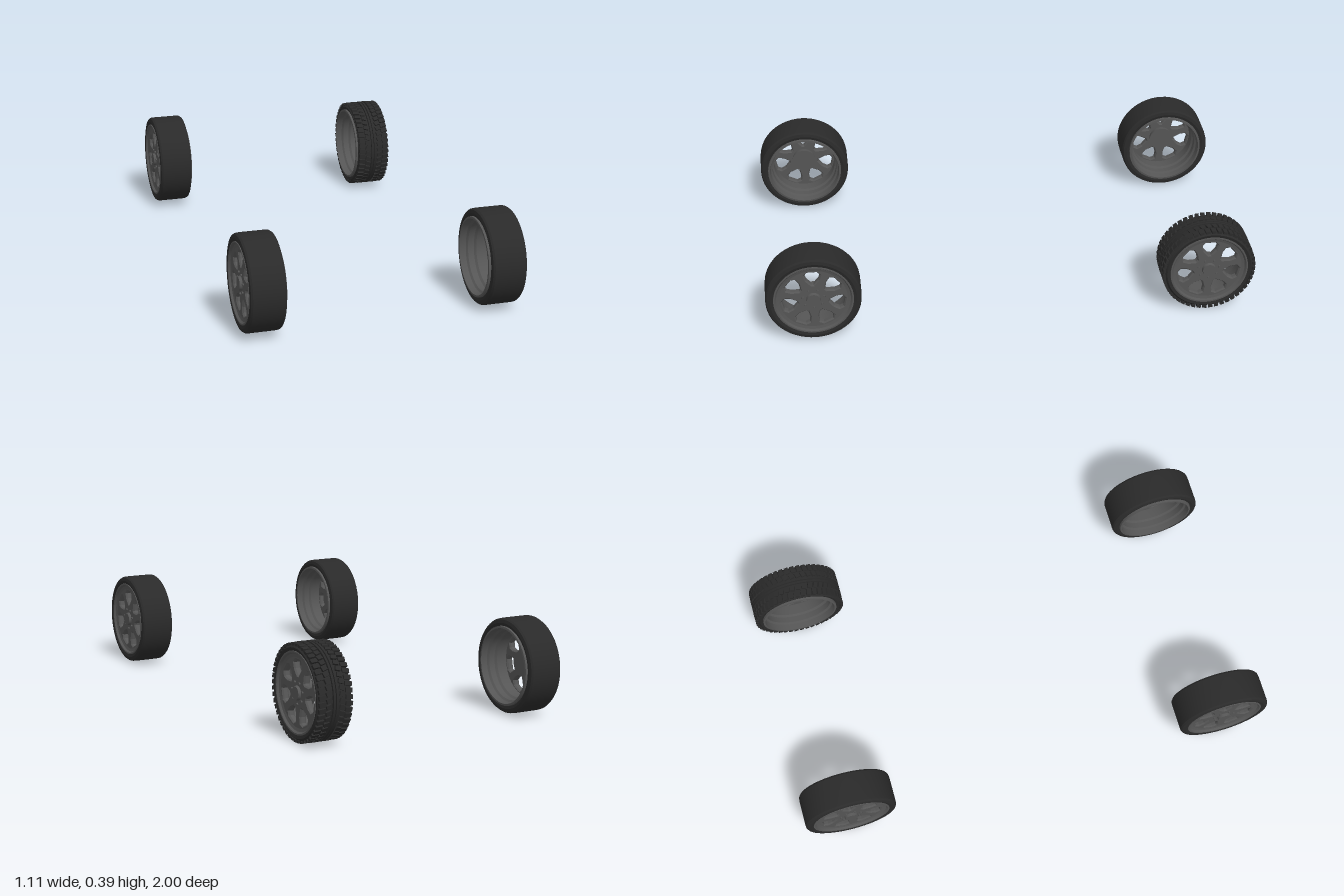
import * as THREE from 'three';
import { mergeGeometries, toCreasedNormals } from 'three/addons/utils/BufferGeometryUtils.js';

const TYRE_RADIUS = 0.192;
const SPOKES = 7;
const rubber = new THREE.MeshStandardMaterial({ color: 0x2a2a2a });
const alloy = new THREE.MeshStandardMaterial({ color: 0x555555 });

function add(group, name, geometry, material) {
  const mesh = new THREE.Mesh(geometry, material);
  mesh.name = name;
  group.add(mesh);
  return mesh;
}

// Closed ring turned about the x axis from [radius, x] pairs, outside going towards +x
function turned(points, segments = 56) {
  const profile = [...points, points[0]].map(([r, x]) => new THREE.Vector2(r, x));
  const geometry = new THREE.LatheGeometry(profile, segments).rotateZ(-Math.PI / 2);
  return toCreasedNormals(geometry, 0.5);
}

function disc(radius, thickness, x, sides) {
  return new THREE.CylinderGeometry(radius * 0.9, radius, thickness, sides)
    .rotateZ(-Math.PI / 2).translate(x, 0, 0);
}

function tyreGeometry(crown) {
  return turned([
    [0.152, -0.066], [0.160, -0.068], [0.173, -0.072], [crown - 0.006, -0.069],
    [crown - 0.001, -0.062], [crown, -0.050], [crown, 0.050], [crown - 0.001, 0.062],
    [crown - 0.006, 0.069], [0.173, 0.072], [0.160, 0.068], [0.152, 0.066],
  ]);
}

// Raised tread: two narrow centre ribs and two rows of slanted blocks on each side
function addTread(wheel) {
  for (const side of [-1, 1]) {
    const rib = turned([
      [0.180, side * 0.0065 - 0.0045], [0.192, side * 0.0065 - 0.0045],
      [0.192, side * 0.0065 + 0.0045], [0.180, side * 0.0065 + 0.0045],
    ]);
    add(wheel, 'treadRib', rib, rubber);

    const rows = [
      { x: 0.028, width: 0.022, length: 0.018, slant: 0.3, radius: 0.1865, shift: 0 },
      { x: 0.056, width: 0.028, length: 0.017, slant: 0.12, radius: 0.1855, shift: 0.5 },
    ];
    for (const row of rows) {
      const count = 48;
      const blocks = [];
      for (let i = 0; i < count; i++) {
        const turn = (i + row.shift + (side > 0 ? 0.25 : 0)) / count * Math.PI * 2;
        blocks.push(new THREE.BoxGeometry(row.width, 0.011, row.length)
          .rotateY(side * row.slant)
          .translate(side * row.x, row.radius, 0)
          .rotateX(turn));
      }
      add(wheel, 'treadBlocks', mergeGeometries(blocks), rubber);
    }
  }
}

// Wheel face: a disc pierced by rounded windows that leave the spokes
function spokeGeometry() {
  const face = new THREE.Shape().absarc(0, 0, 0.138, 0, Math.PI * 2, false);
  const outline = [[0.062, -0.1], [0.062, 0.1], [0.092, 0.31], [0.118, 0.31],
    [0.131, 0.17], [0.131, -0.17], [0.118, -0.31], [0.092, -0.31]];
  for (let i = 0; i < SPOKES; i++) {
    const middle = Math.PI / 2 + i * Math.PI * 2 / SPOKES;
    face.holes.push(new THREE.Path(outline.map(([r, a]) =>
      new THREE.Vector2(r * Math.cos(middle + a), r * Math.sin(middle + a)))));
  }
  return new THREE.ExtrudeGeometry(face, {
    depth: 0.016, curveSegments: 56, bevelEnabled: true,
    bevelThickness: 0.006, bevelSize: 0.005, bevelOffset: -0.001, bevelSegments: 1,
  }).rotateY(Math.PI / 2).translate(0.038, 0, 0);
}

// One wheel with its face towards +x
function buildWheel(name, treaded) {
  const wheel = new THREE.Group();
  wheel.name = name;

  add(wheel, 'tyre', tyreGeometry(treaded ? 0.183 : TYRE_RADIUS), rubber);
  if (treaded) addTread(wheel);

  // Barrel with its inner lip and the flared outer flange
  add(wheel, 'rimBarrel', turned([
    [0.152, -0.078], [0.160, -0.077], [0.161, -0.068], [0.154, -0.062],
    [0.154, 0.062], [0.161, 0.066], [0.160, 0.071], [0.154, 0.071],
    [0.148, 0.063], [0.136, 0.060], [0.134, 0.038], [0.134, -0.012],
    [0.141, -0.020], [0.141, -0.045], [0.148, -0.052],
  ]), alloy);
  add(wheel, 'spokes', spokeGeometry(), alloy);

  // Hub, centre cap and nuts
  add(wheel, 'hub', disc(0.052, 0.04, 0.032, 32), alloy);
  add(wheel, 'centreCap', disc(0.029, 0.012, 0.065, 32), alloy);
  for (let i = 0; i < SPOKES; i++) {
    const nut = disc(0.0055, 0.008, 0.062, 6)
      .translate(0, -0.043, 0).rotateX(i * Math.PI * 2 / SPOKES);
    add(wheel, 'wheelNut', nut, alloy);
  }
  return wheel;
}

export function createModel() {
  const model = new THREE.Group();
  model.name = 'wheelSet';
  const places = [
    ['frontLeftWheel', 0.478, 0.197, 0.803, false],
    ['frontRightWheel', -0.483, 0.197, 0.808, false],
    ['rearLeftWheel', 0.465, 0.193, -0.803, true],
    ['rearRightWheel', -0.473, 0.197, -0.808, false],
  ];
  for (const [name, x, y, z, treaded] of places) {
    const wheel = buildWheel(name, treaded);
    wheel.position.set(x, y, z);
    if (x < 0) wheel.rotation.y = Math.PI;
    model.add(wheel);
  }
  return model;
}
